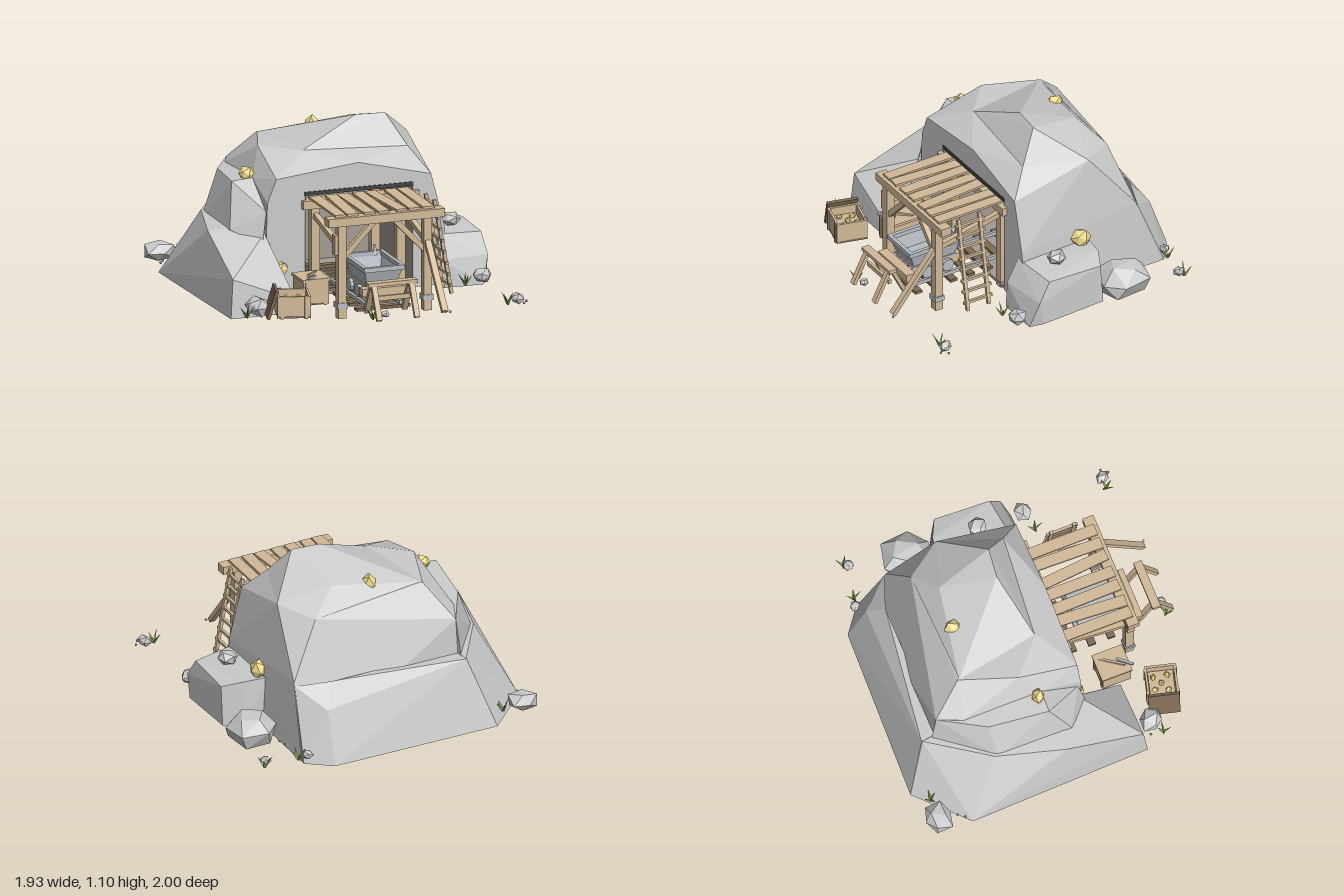
import * as THREE from 'three';
import { ConvexGeometry } from 'three/addons/geometries/ConvexGeometry.js';

const mat = (color, side = THREE.FrontSide) => new THREE.MeshStandardMaterial({ color, side, flatShading: true });
const ROCK = mat(0xcccccc, THREE.DoubleSide), STONE = mat(0xcccccc), TUNNEL = mat(0xa59c94, THREE.DoubleSide);
const WOOD = mat(0xd2ba98), DARK = mat(0x7d6a54), METAL = mat(0xb9bec4, THREE.DoubleSide);
const GOLD = mat(0xeedd8c), GRASS = mat(0x7fa050, THREE.DoubleSide), SHADE = mat(0x444444);
const V = (p) => new THREE.Vector3(...p);

function add(parent, name, geo, material, pos = [0, 0, 0], rot = [0, 0, 0]) {
  const m = new THREE.Mesh(geo, material);
  m.name = name;
  m.position.set(...pos);
  m.rotation.set(...rot);
  parent.add(m);
  return m;
}
const box = (parent, name, size, pos, material = WOOD, rot) =>
  add(parent, name, new THREE.BoxGeometry(...size), material, pos, rot);

// Square timber between two points
function beam(parent, name, a, b, w = 0.04, h = w, material = WOOD) {
  const p = V(a), q = V(b);
  const m = box(parent, name, [w, h, p.distanceTo(q)], p.clone().add(q).multiplyScalar(0.5).toArray(), material);
  m.lookAt(q);
  return m;
}

// Convex rock shell; triangles lying wholly in a dropped plane are left out
function shell(parent, name, pts, drop) {
  const src = new ConvexGeometry(pts.map(V)).getAttribute('position');
  const out = [];
  for (let i = 0; i < src.count; i += 3) {
    const t = [0, 1, 2].map((k) => new THREE.Vector3().fromBufferAttribute(src, i + k));
    if (!drop(t)) t.forEach((v) => out.push(v.x, v.y, v.z));
  }
  const g = new THREE.BufferGeometry();
  g.setAttribute('position', new THREE.Float32BufferAttribute(out, 3));
  g.computeVertexNormals();
  return add(parent, name, g, ROCK);
}
const isBottom = (t) => t.every((v) => v.y < 0.03);

// Irregular nugget or stone
function lump(parent, name, pos, r, material, squash = [1, 1, 1]) {
  const seed = pos[0] * 17 + pos[2] * 31;
  const pts = [];
  const p = new THREE.IcosahedronGeometry(1, 0).getAttribute('position');
  for (let i = 0; i < p.count; i++) {
    const v = new THREE.Vector3().fromBufferAttribute(p, i);
    const k = 0.92 + 0.14 * Math.sin(seed + v.x * 5 + v.y * 7 + v.z * 3);
    pts.push(v.multiplyScalar(r * k).multiply(V(squash)));
  }
  return add(parent, name, new ConvexGeometry(pts), material, pos, [0, seed, 0]);
}

function buildMountain(root) {
  const g = new THREE.Group();
  g.name = 'mountain';
  root.add(g);
  const F = 0.19;
  const front = [[-0.58, 0.02], [-0.56, 0.66], [-0.5, 0.81], [0.05, 0.87], [0.54, 0.75], [0.63, 0.4], [0.65, 0.02]];
  // Main mass, open at the front plane and the bottom
  shell(g, 'mainRock', [
    ...front.map(([x, y]) => [x, y, F]),
    [-0.25, 0.93, 0.01], [-0.48, 0.93, -0.2], [-0.35, 0.92, -0.56], [0.43, 0.91, 0.06], [0.57, 0.9, -0.34],
    [0.42, 0.86, -0.57], [-0.56, 0.76, -0.08], [-0.55, 0.73, -0.6], [-0.48, 0.72, -0.76], [0.62, 0.5, -0.66],
    [-0.5, 0.02, -0.8], [0.65, 0.02, -0.82], [-0.6, 0.02, -0.5],
  ], (t) => isBottom(t) || t.every((v) => Math.abs(v.z - F) < 0.001));

  // Summit slab
  shell(g, 'summit', [
    [0.14, 1.1, -0.1], [0.33, 1.1, -0.08], [-0.25, 0.93, 0.0], [0.43, 0.91, 0.06], [0.57, 0.9, -0.34],
    [0.24, 1.0, -0.45], [-0.2, 0.945, -0.45], [-0.35, 0.92, -0.55], [0.42, 0.86, -0.57], [0, 0.8, -0.3],
  ], () => false);

  // Front wall with the mine entrance cut out
  const L = -0.31, R = 0.42, T = 0.71, B = -0.55;
  const wall = new THREE.Shape([...front, [R, 0.02], [R, T], [L, T], [L, 0.02]].map((p) => new THREE.Vector2(...p)));
  add(g, 'entranceWall', new THREE.ShapeGeometry(wall), ROCK, [0, 0, F]);

  // Tunnel lining
  const w = R - L, d = F - B, cx = (L + R) / 2, cz = (F + B) / 2, h = T - 0.03;
  box(g, 'tunnelBack', [w, h, 0.01], [cx, 0.03 + h / 2, B], TUNNEL);
  for (const x of [L, R]) box(g, 'tunnelSide', [0.01, h, d], [x, 0.03 + h / 2, cz], TUNNEL);
  box(g, 'tunnelRoof', [w, 0.01, d], [cx, T, cz], TUNNEL);
  box(g, 'tunnelFloor', [w, 0.02, d], [cx, 0.04, cz], TUNNEL);
  box(g, 'tunnelLip', [w, 0.025, 0.02], [cx, 0.698, F - 0.005], SHADE);

  // Left shoulder between the ledge and the main mass
  shell(g, 'leftShoulder', [
    [-0.7, 0.75, -0.08], [-0.56, 0.76, -0.08], [-0.54, 0.75, -0.3], [-0.65, 0.73, -0.47], [-0.48, 0.72, -0.76],
    [-0.56, 0.6, 0.17], [-0.6, 0.4, 0.21], [-0.76, 0.47, 0.05], [-0.76, 0.44, -0.45], [-0.5, 0.44, -0.8], [-0.4, 0.44, -0.4],
  ], () => false);
  // Left ledge running forward into a low arm
  shell(g, 'leftLedge', [
    [-0.92, 0.02, 0.5], [-0.9, 0.27, 0.48], [-0.69, 0.28, 0.36], [-0.48, 0.1, 0.49], [-0.48, 0.02, 0.5], [-0.48, 0.02, 0.1],
    [-0.5, 0.26, 0.18], [-0.57, 0.46, 0.16], [-0.7, 0.48, 0.02], [-0.88, 0.46, -0.03], [-0.76, 0.47, -0.47],
    [-0.96, 0.02, -0.7], [-0.65, 0.02, -1], [-0.5, 0.48, -0.86], [-0.48, 0.48, -0.7], [-0.48, 0.02, -0.99],
  ], isBottom);
  // Back ledge narrowing to the right, open on its hidden inner side
  const isInner = (t) => t.every((v) => v.z > -0.76 && v.x < 0.63);
  shell(g, 'backLedge', [
    [-0.65, 0.02, -1], [-0.5, 0.48, -0.865], [-0.48, 0.48, -0.74], [0.4, 0.5, -0.75], [0.62, 0.48, -0.67],
    [0.48, 0.36, -0.85], [0.49, 0.02, -0.97], [0.65, 0.02, -0.85], [0.62, 0.02, -0.66], [-0.48, 0.02, -0.66],
  ], (t) => isBottom(t) || isInner(t));
  // Boulders on the right flank
  shell(g, 'rightBoulder', [
    [0.58, 0.02, 0.28], [0.58, 0.2, 0.27], [0.58, 0.35, 0.19], [0.86, 0.02, 0.28], [0.905, 0.04, 0.2], [0.905, 0.2, 0.23],
    [0.89, 0.33, 0.15], [0.905, 0.33, -0.22], [0.78, 0.36, -0.28], [0.6, 0.36, -0.3], [0.58, 0.02, -0.3], [0.8, 0.02, -0.3],
    [0.905, 0.06, -0.24],
  ], isBottom);
  shell(g, 'rearBoulder', [
    [0.67, 0.04, -0.38], [0.73, 0.04, -0.55], [0.9, 0.04, -0.55], [0.92, 0.04, -0.34], [0.78, 0.04, -0.3],
    [0.65, 0.13, -0.48], [0.77, 0.15, -0.61], [0.94, 0.14, -0.57], [0.96, 0.13, -0.38], [0.85, 0.12, -0.28], [0.68, 0.15, -0.32],
    [0.72, 0.21, -0.42], [0.8, 0.22, -0.54], [0.9, 0.21, -0.48], [0.83, 0.22, -0.36],
  ], () => false);
}

function buildCanopy(root) {
  const g = new THREE.Group();
  g.name = 'entranceCanopy';
  root.add(g);
  for (const [x, s] of [[-0.235, 1], [0.34, -1]]) {
    beam(g, 'frontPost', [x, 0, 0.64], [x, 0.6, 0.64], 0.055);
    box(g, 'postCollar', [0.07, 0.035, 0.07], [x, 0.085, 0.64], METAL);
    beam(g, 'frontBrace', [x + s * 0.02, 0.4, 0.64], [x + s * 0.22, 0.61, 0.64], 0.035);
    beam(g, 'sideBrace', [x, 0.46, 0.62], [x, 0.55, 0.19], 0.035);
    for (const z of [0.16, -0.3]) beam(g, 'tunnelPost', [x, 0.01, z], [x, 0.62, z], 0.055);
  }
  box(g, 'frontBeam', [0.78, 0.055, 0.075], [0.06, 0.63, 0.64]);
  box(g, 'rearBeam', [0.78, 0.055, 0.035], [0.06, 0.63, 0.205]);
  for (const z of [0.16, -0.3]) box(g, 'tunnelBeam', [0.7, 0.055, 0.06], [0.055, 0.63, z]);
  // Roof planks, a few laid askew
  [[-0.24, 0], [-0.145, 0.06], [-0.05, -0.02], [0.05, 0], [0.15, -0.09], [0.26, 0.02], [0.35, 0]].forEach(([x, a]) =>
    box(g, 'roofPlank', [0.075, 0.015, 0.48], [x, 0.667, 0.415], WOOD, [0, -a, 0]));
  beam(g, 'leaningProp', [0.34, 0.45, 0.66], [0.34, 0.07, 0.97], 0.04, 0.03);
  box(g, 'hangingBlock', [0.03, 0.13, 0.05], [-0.27, 0.48, 0.64]);
  // Ladder leaning on the right side
  const at = (t, z) => [0.43 + 0.115 * t, 0.68 - 0.62 * t, z];
  for (const z of [0.385, 0.54]) beam(g, 'ladderRail', at(0, z), at(1, z), 0.022);
  for (let i = 0; i < 8; i++) beam(g, 'ladderRung', at(0.07 + i * 0.12, 0.355), at(0.07 + i * 0.12, 0.565), 0.018);
}

function buildCartAndTrack(root) {
  const g = new THREE.Group();
  g.name = 'trackAndCart';
  root.add(g);
  const cx = 0.025;
  for (const x of [-0.09, 0.14]) box(g, 'rail', [0.02, 0.025, 1.15], [x, 0.085, 0.14], METAL);
  for (let z = -0.35; z < 0.7; z += 0.13) box(g, 'sleeper', [0.36, 0.02, 0.05], [cx, 0.06, z], DARK);
  // Cart
  for (const x of [-0.065, 0.115]) box(g, 'cartFrame', [0.035, 0.06, 0.42], [x, 0.17, 0.53]);
  box(g, 'cartBumper', [0.34, 0.05, 0.065], [0.03, 0.185, 0.745]);
  const tub = add(g, 'cartTub', new THREE.CylinderGeometry(0.7071, 0.56, 1, 4, 1, true).rotateY(Math.PI / 4), METAL, [cx, 0.25, 0.53]);
  tub.scale.set(0.25, 0.12, 0.37);
  box(g, 'cartFloor', [0.22, 0.015, 0.32], [cx, 0.2, 0.53], METAL);
  for (const s of [-1, 1]) {
    box(g, 'cartRimSide', [0.025, 0.03, 0.39], [cx + s * 0.125, 0.315, 0.53], METAL);
    box(g, 'cartRimEnd', [0.27, 0.03, 0.025], [cx, 0.315, 0.53 + s * 0.185], METAL);
    for (const z of [0.445, 0.595])
      add(g, 'cartWheel', new THREE.CylinderGeometry(0.042, 0.042, 0.025, 10), METAL, [cx + s * 0.125, 0.155, z], [0, 0, Math.PI / 2]);
  }
  beam(g, 'cartLever', [0.1, 0.3, 0.36], [0.105, 0.37, 0.34], 0.015, 0.015, METAL);
  // Trestle blocking the track
  box(g, 'trestlePlank', [0.33, 0.025, 0.055], [0.02, 0.265, 0.87]);
  box(g, 'trestleRail', [0.26, 0.03, 0.02], [0.02, 0.17, 0.87]);
  for (const x of [-0.105, 0.148]) for (const s of [-1, 1])
    beam(g, 'trestleLeg', [x, 0.26, 0.87 + s * 0.01], [x, 0.055, 0.87 + s * 0.115], 0.035, 0.025);
}

function buildCrate(root, name, pos, turn, [w, h, d]) {
  const g = new THREE.Group();
  g.name = name;
  g.position.set(...pos);
  g.rotation.y = turn;
  root.add(g);
  const t = 0.015;
  box(g, 'crateFloor', [w, t, d], [0, t / 2, 0], DARK);
  for (const s of [-1, 1]) {
    box(g, 'crateSide', [t, h, d], [s * (w - t) / 2, h / 2, 0]);
    box(g, 'crateEnd', [w, h, t], [0, h / 2, s * (d - t) / 2]);
    for (const u of [-1, 1]) box(g, 'crateCleat', [0.02, h + 0.01, 0.012], [u * w * 0.36, h / 2, s * d / 2]);
  }
  return g;
}

export function createModel() {
  const root = new THREE.Group();
  root.name = 'goldMine';
  buildMountain(root);
  buildCanopy(root);
  buildCartAndTrack(root);

  // Closed crate with a pickaxe on its lid
  const closed = buildCrate(root, 'closedCrate', [-0.375, 0.08, 0.475], 0, [0.17, 0.155, 0.19]);
  box(closed, 'crateLid', [0.185, 0.018, 0.205], [0, 0.16, 0]);
  beam(closed, 'pickHandle', [-0.03, 0.178, 0.08], [0.04, 0.178, -0.08], 0.014);
  beam(closed, 'pickHead', [-0.08, 0.178, 0.06], [0.03, 0.178, 0.095], 0.016, 0.016, METAL);
  // Open crate of gold with its lid leaning outside
  const open = buildCrate(root, 'openCrate', [-0.59, 0.08, 0.725], -0.26, [0.21, 0.14, 0.2]);
  box(open, 'crateFilling', [0.17, 0.07, 0.16], [0, 0.05, 0]);
  box(open, 'leaningLid', [0.02, 0.19, 0.2], [-0.135, 0.085, 0], DARK, [0, 0, -0.3]);
  for (const [x, z] of [[0, 0], [0.05, 0.04], [-0.05, 0.04], [0.04, -0.05], [-0.04, -0.045]])
    lump(open, 'goldPiece', [x, 0.095, z], 0.022, GOLD);

  // Gold nuggets in the rock
  for (const [x, y, z, r] of [[-0.02, 0.96, -0.46, 0.06], [-0.59, 0.78, -0.11, 0.052], [0.65, 0.4, -0.23, 0.068], [-0.47, 0.235, 0.21, 0.045]])
    lump(root, 'goldNugget', [x, y, z], r, GOLD);
  // Loose stones
  for (const [x, y, z, r] of [[0.74, 0.385, 0.01, 0.07], [-0.88, 0.1, -0.9, 0.105], [-0.77, 0.11, 0.58, 0.09], [0.82, 0.1, 0.35, 0.07],
    [0.855, 0.09, 0.9, 0.05], [0.9, 0.09, -0.8, 0.042], [0.63, 0.09, -0.86, 0.04], [-0.05, 0.085, 0.94, 0.034]])
    lump(root, 'stone', [x, y, z], r, STONE, [1, 0.75, 1]);
  // Grass tufts
  for (const [x, z] of [[-0.74, -0.9], [0.69, -0.85], [0.92, -0.83], [0.7, 0.38], [0.79, 0.9], [-0.13, 0.94], [-0.86, 0.63]])
    for (let i = 0; i < 4; i++) {
      const a = i * 1.7 + x * 9;
      const blade = new THREE.ConeGeometry(0.011, 0.1 - i * 0.012, 3).translate(0, 0.045, 0);
      add(root, 'grassBlade', blade, GRASS, [x, 0.06, z], [Math.cos(a) * 0.6, 0, Math.sin(a) * 0.6]);
    }
  // Pebbles
  for (const [x, z] of [[-0.9, -0.78], [-0.93, -0.74], [0.68, -0.65], [0.69, -0.6], [0.91, 0.91], [0.88, 0.95], [0.37, 0.985], [-0.85, 0.55]])
    lump(root, 'pebble', [x, 0.07, z], 0.01, STONE);
  return root;
}
